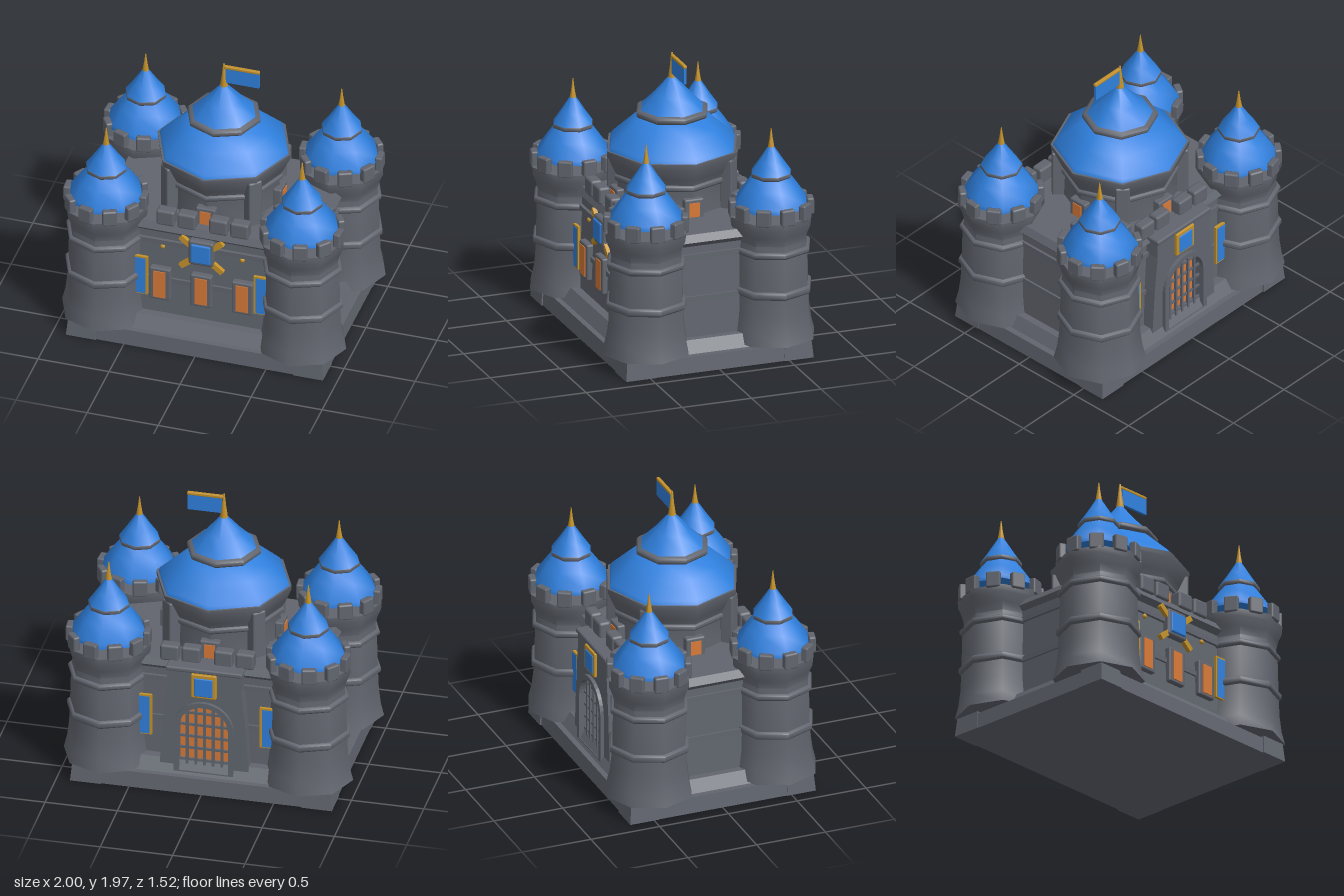
import * as THREE from 'three';
import { toCreasedNormals } from 'three/addons/utils/BufferGeometryUtils.js';
import { RoundedBoxGeometry } from 'three/addons/geometries/RoundedBoxGeometry.js';

const material = (name, color) => Object.assign(new THREE.MeshStandardMaterial({ color }), { name });

export function createModel() {
  const stone = material('stone', 0x61656e);
  const blue = material('blue roof', 0x2f80de);
  const gold = material('gold', 0xc4922a);
  const orange = material('glowing orange', 0xd87a38);
  const model = new THREE.Group();
  model.name = 'castle';

  function add(parent, name, geometry, mat, x = 0, y = 0, z = 0) {
    const mesh = new THREE.Mesh(geometry, mat);
    mesh.name = name;
    mesh.position.set(x, y, z);
    parent.add(mesh);
    return mesh;
  }
  function group(parent, name, x = 0, y = 0, z = 0) {
    const g = new THREE.Group();
    g.name = name;
    g.position.set(x, y, z);
    parent.add(g);
    return g;
  }
  const box = (w, h, d) => new THREE.BoxGeometry(w, h, d);
  const block = (w, h, d, r = 0.012) => new RoundedBoxGeometry(w, h, d, 1, r);

  // Eight-sided turned part, profile given as [radius, y] from bottom to top
  function turned(profile) {
    const points = profile.map(([r, y]) => new THREE.Vector2(r, y));
    return toCreasedNormals(new THREE.LatheGeometry(points, 8), 0.85);
  }
  const ring = (r, y0, y1, b = 0.012) => turned([
    [0, y0], [r - b, y0], [r, y0 + b], [r, y1 - b], [r - b, y1], [0, y1]]);

  // Box whose top is narrower or wider than its bottom (half sizes)
  function taper(x0, z0, x1, z1, y0, y1) {
    const g = box(2, 1, 2);
    const p = g.attributes.position;
    for (let i = 0; i < p.count; i++) {
      const top = p.getY(i) > 0;
      p.setXYZ(i, p.getX(i) * (top ? x1 : x0), top ? y1 : y0, p.getZ(i) * (top ? z1 : z0));
    }
    g.computeVertexNormals();
    return g;
  }

  // Foundation
  add(model, 'foundation', taper(0.9, 0.665, 0.89, 0.655, 0, 0.115), stone);
  add(model, 'plinth', taper(0.85, 0.62, 0.8, 0.56, 0.11, 0.2), stone);
  for (const sx of [-1, 1]) for (const sz of [-1, 1]) {
    add(model, 'foundationCorner', taper(0.105, 0.105, 0.092, 0.092, 0, 0.14), stone, sx * 0.8, 0, sz * 0.57);
  }

  // Curtain walls and deck
  add(model, 'walls', taper(0.75, 0.5, 0.73, 0.475, 0.19, 0.87), stone);
  add(model, 'lowerWallBand', taper(0.755, 0.505, 0.755, 0.505, 0.455, 0.49), stone);
  add(model, 'upperWallBand', taper(0.75, 0.5, 0.75, 0.5, 0.755, 0.79), stone);
  add(model, 'corniceFlare', taper(0.73, 0.475, 0.76, 0.51, 0.84, 0.875), stone);
  add(model, 'cornice', taper(0.76, 0.51, 0.73, 0.485, 0.875, 0.925), stone);
  for (const sz of [-1, 1]) for (const x of [-0.26, -0.112, 0.112, 0.26]) {
    add(model, 'wallMerlon', block(0.13, 0.12, 0.085, 0.018), stone, x, 0.975, sz * 0.465);
  }

  // Corner towers
  const body = turned([[0, 0.13], [0.31, 0.13], [0.288, 0.22], [0.274, 0.33], [0.268, 0.47],
    [0.26, 0.77], [0.25, 0.83], [0.265, 0.89], [0.29, 0.95], [0.292, 1.0], [0, 1.0]]);
  const lowerRoof = turned([[0, 1.06], [0.26, 1.06], [0.255, 1.09], [0.185, 1.19], [0.13, 1.265], [0, 1.265]]);
  const upperRoof = turned([[0, 1.29], [0.14, 1.29], [0.085, 1.37], [0.018, 1.475], [0, 1.475]]);
  const spike = turned([[0, 1.46], [0.024, 1.46], [0.012, 1.53], [0.003, 1.6], [0, 1.6]]);
  const lowRing = ring(0.287, 0.455, 0.51);
  const highRing = ring(0.28, 0.745, 0.79);
  const roofRing = ring(0.142, 1.255, 1.3);
  for (const sx of [-1, 1]) for (const sz of [-1, 1]) {
    const tower = group(model, 'cornerTower', sx * 0.69, 0, sz * 0.45);
    add(tower, 'towerBody', body, stone);
    add(tower, 'lowerTowerRing', lowRing, stone);
    add(tower, 'upperTowerRing', highRing, stone);
    add(tower, 'lowerTowerRoof', lowerRoof, blue);
    add(tower, 'towerRoofRing', roofRing, stone);
    add(tower, 'upperTowerRoof', upperRoof, blue);
    add(tower, 'towerSpike', spike, gold);
    for (let i = 0; i < 10; i++) {
      const a = (14 + i * 36) * Math.PI / 180;
      const m = add(tower, 'towerMerlon', block(0.1, 0.115, 0.05), stone,
        -sx * Math.sin(a) * -0.263, 1.043, sz * Math.cos(a) * 0.263);
      m.rotation.y = Math.atan2(m.position.x, m.position.z);
    }
  }

  // Central keep
  const keep = group(model, 'keep');
  add(keep, 'keepBody', turned([[0, 0.9], [0.4, 0.9], [0.39, 1.12], [0.425, 1.19], [0.465, 1.28],
    [0.468, 1.315], [0, 1.315]]), stone);
  add(keep, 'keepRing', ring(0.415, 1.1, 1.145), stone);
  add(keep, 'lowerKeepRoof', turned([[0, 1.31], [0.455, 1.31], [0.44, 1.34], [0.33, 1.44], [0.22, 1.54], [0, 1.54]]), blue);
  add(keep, 'keepRoofRing', ring(0.257, 1.525, 1.575, 0.015), stone);
  add(keep, 'upperKeepRoof', turned([[0, 1.57], [0.228, 1.57], [0.125, 1.675], [0.028, 1.79], [0, 1.79]]), blue);
  add(keep, 'keepSpike', turned([[0, 1.775], [0.03, 1.775], [0.016, 1.87], [0.006, 1.965], [0, 1.965]]), gold);
  for (let i = 0; i < 4; i++) {
    const post = group(keep, 'keepPost');
    post.rotation.y = Math.PI / 4 + i * Math.PI / 2;
    add(post, 'postShaft', block(0.1, 0.36, 0.09), stone, 0, 1.09, 0.415);
    const side = group(keep, 'keepWindow');
    side.rotation.y = i * Math.PI / 2;
    add(side, 'keepWindowFrame', block(0.14, 0.14, 0.06), stone, 0, 0.985, 0.395);
    add(side, 'keepWindowPane', box(0.075, 0.1, 0.008), orange, 0, 0.98, 0.427);
  }

  // Flag
  add(keep, 'flag', box(0.235, 0.12, 0.02), blue, 0.132, 1.88, 0);
  add(keep, 'flagBar', block(0.25, 0.022, 0.026, 0.006), gold, 0.128, 1.942, 0);

  // Front windows
  for (const x of [-0.29, 0, 0.29]) {
    add(model, 'windowFrame', block(0.15, 0.255, 0.07), stone, x, 0.445, 0.495);
    add(model, 'windowPane', box(0.085, 0.21, 0.008), orange, x, 0.445, 0.532);
  }

  // Front shield over crossed bars
  for (const s of [-1, 1]) {
    const bar = add(model, 'crossBar', box(0.38, 0.038, 0.03), gold, 0, 0.738, 0.508);
    bar.rotation.z = s * 0.68;
    const stud = add(model, 'wallStud', new THREE.SphereGeometry(0.018, 8, 6), gold, s * 0.28, 0.735, 0.49);
    stud.scale.z = 0.8;
  }
  add(model, 'shieldFrame', block(0.18, 0.2, 0.06, 0.02), stone, 0, 0.755, 0.505);
  add(model, 'shield', block(0.14, 0.15, 0.03), blue, 0, 0.755, 0.532);

  // Banners beside the towers
  for (const sx of [-1, 1]) for (const sz of [-1, 1]) {
    const banner = group(model, 'banner', sx * 0.418, 0.5, sz * 0.525);
    add(banner, 'bannerTrim', box(0.09, 0.305, 0.02), gold);
    add(banner, 'bannerCloth', box(0.075, 0.285, 0.024), blue, sx * 0.008, -0.003, 0);
  }

  // Gatehouse on the back, modelled facing +z and turned round
  const gate = group(model, 'gatehouse');
  gate.rotation.y = Math.PI;
  const arch = (path, r, y0, spring) => {
    path.moveTo(-r, y0);
    path.lineTo(r, y0);
    path.lineTo(r, spring);
    path.absarc(0, spring, r, 0, Math.PI, false);
    path.lineTo(-r, y0);
    return path;
  };
  const wall = new THREE.Shape([[-0.31, 0.12], [0.31, 0.12], [0.285, 0.5], [0.255, 0.78], [0.255, 0.91], [-0.255, 0.91],
    [-0.255, 0.78], [-0.285, 0.5]].map(([x, y]) => new THREE.Vector2(x, y)));
  wall.holes.push(arch(new THREE.Path(), 0.175, 0.14, 0.47));
  add(gate, 'gateWall', new THREE.ExtrudeGeometry(wall, { depth: 0.12, bevelEnabled: false, curveSegments: 8 }), stone, 0, 0, 0.46);
  const trim = arch(new THREE.Shape(), 0.205, 0.13, 0.47);
  trim.holes.push(arch(new THREE.Path(), 0.17, 0.14, 0.47));
  add(gate, 'gateArch', new THREE.ExtrudeGeometry(trim, { depth: 0.03, bevelEnabled: false, curveSegments: 8 }), stone, 0, 0, 0.575);
  add(gate, 'gateDoor', new THREE.ShapeGeometry(arch(new THREE.Shape(), 0.178, 0.14, 0.47), 8), orange, 0, 0, 0.525);
  add(gate, 'gateCoping', block(0.53, 0.035, 0.14), stone, 0, 0.91, 0.525);

  // Portcullis
  for (let i = -2; i <= 2; i++) {
    const x = i * 0.06;
    const top = 0.47 + Math.sqrt(0.175 ** 2 - x ** 2);
    add(gate, 'portcullisBar', box(0.018, top - 0.14, 0.018), stone, x, (top + 0.14) / 2, 0.565);
  }
  for (const y of [0.21, 0.3, 0.39, 0.48, 0.57]) {
    const half = y > 0.47 ? Math.sqrt(0.175 ** 2 - (y - 0.47) ** 2) : 0.175;
    add(gate, 'portcullisRail', box(half * 2, 0.016, 0.014), stone, 0, y, 0.56);
  }

  // Plaque above the gate
  add(gate, 'plaqueFrame', block(0.175, 0.18, 0.03, 0.008), gold, 0, 0.8, 0.587);
  add(gate, 'plaque', block(0.13, 0.14, 0.03, 0.008), blue, 0, 0.795, 0.594);

  return model;
}
